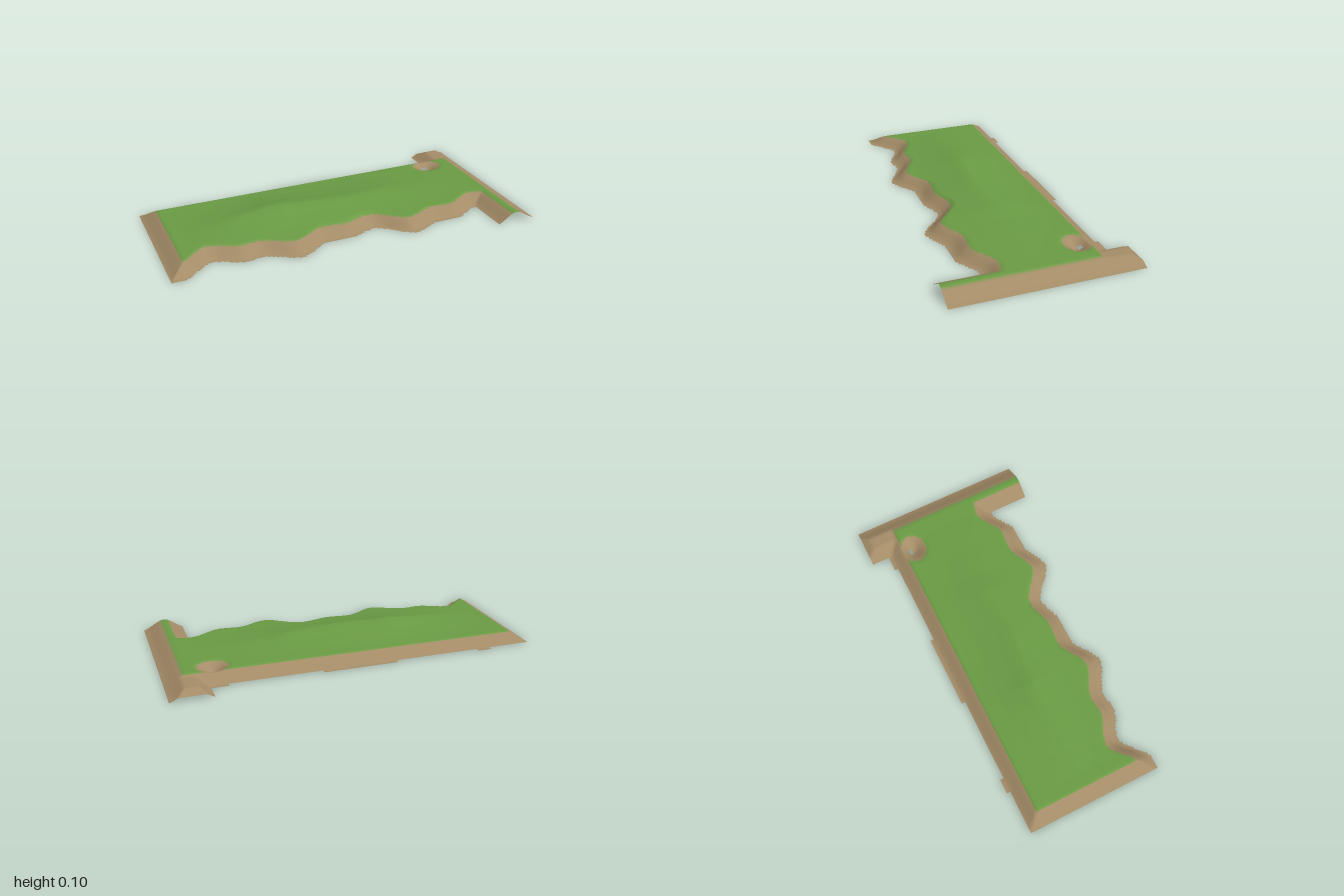
import * as THREE from 'three';

const PLATEAU = 0.054, CELL = 0.01;
const clamp = (t) => Math.min(1, Math.max(0, t));
const smooth = (t) => { t = clamp(t); return t * t * (3 - 2 * t); };
const slope = (d, w) => { const t = clamp(d / w); return PLATEAU * (0.6 * t + 0.4 * smooth(t)); };

// Interpolates a list of [x, value] points, rounded at each point or straight
function along(points, x, ease) {
  for (let i = 1; i < points.length; i++) {
    const [x0, v0] = points[i - 1], [x1, v1] = points[i];
    if (x <= x1) return v0 + (v1 - v0) * ease((x - x0) / (x1 - x0));
  }
  return points[points.length - 1][1];
}

// Wavy foot of the front bank
const frontFoot = [[-1, 0.38], [-0.94, 0.38], [-0.77, 0.27], [-0.6, 0.33], [-0.52, 0.32], [-0.33, 0.397],
  [-0.14, 0.305], [-0.03, 0.315], [0.13, 0.273], [0.33, 0.397], [0.5, 0.335], [0.6, 0.345], [0.78, 0.265], [1, 0.33]];
const frontEdge = (x) => along(frontFoot, x, smooth);

// Foot of the back bank, with three shallow tabs
const backEdge = (x) =>
  (x > -0.76 && x < -0.68) || (x > -0.21 && x < 0.2) || x > 0.69 ? -0.4 : -0.385;

// Crest height of the long hill, and its cross-section
const crest = [[-0.85, 0], [-0.7, 0.012], [-0.55, 0.028], [-0.4, 0.044], [-0.3, 0.051], [-0.2, 0.044], [0, 0.04],
  [0.1, 0.035], [0.3, 0.029], [0.42, 0.015], [0.6, 0.006], [0.8, 0]];
const section = [[0, 1], [0.04, 0.88], [0.1, 0.56], [0.2, 0.15], [0.28, 0]];
function hill(x, z) {
  const ridge = 0.015 * Math.sin(x * 8 + 1.2);
  return along(crest, x, clamp) * along(section, Math.abs(z - ridge), clamp);
}

// Round pit with a small drain hole
const pitRadius = (x, z) => Math.hypot((x - 0.745) / 0.105, (z + 0.25) / 0.088);
const inHole = (x, z) => Math.hypot(x - 0.745, z + 0.27) < 0.012;

function height(x, z) {
  const main = Math.min(
    slope(x + 1, 0.09),
    PLATEAU * smooth((frontEdge(x) - z) / 0.105),
    slope(z + 0.385, 0.085));
  // Cross ridge at the right-hand end, lower at the back
  let ridge = slope(x - 0.78, 0.09);
  if (z < -0.3) ridge = Math.min(ridge, 0.044);
  if (z < -0.45) ridge = Math.min(ridge, 0.02 + 0.024 * clamp((z + 0.5) / 0.045));
  let y = Math.min(slope(1 - x, 0.105), Math.max(main, ridge)) + hill(x, z);
  const r = pitRadius(x, z);
  if (r < 1) y = Math.min(y, 0.006 + (PLATEAU - 0.006) * smooth(0.12 + 0.88 * r));
  return y;
}

function isGround(x, z) {
  if (inHole(x, z)) return false;
  return x > 0.78 || (z < frontEdge(x) && z > backEdge(x));
}

export function createModel() {
  const group = new THREE.Group();
  group.name = 'terrainTile';

  const material = (name, color) => {
    const m = new THREE.MeshStandardMaterial({ color, side: THREE.DoubleSide });
    m.name = name;
    return m;
  };
  const parts = {
    grassTop: { material: material('grass green', 0x6a9b44), index: [] },
    grassFringe: { material: material('olive fringe', 0x869456), index: [] },
    earthBanks: { material: material('earth brown', 0xa48c67), index: [] },
  };

  // Height grid, shared by all three ground parts so the shading stays smooth
  const nx = 200, nz = 100, positions = [], all = [];
  for (let j = 0; j <= nz; j++) {
    for (let i = 0; i <= nx; i++) {
      const x = -1 + i * CELL, z = -0.5 + j * CELL;
      positions.push(x, height(x, z), z);
    }
  }
  for (let j = 0; j < nz; j++) {
    for (let i = 0; i < nx; i++) {
      const x = -1 + (i + 0.5) * CELL, z = -0.5 + (j + 0.5) * CELL;
      if (!isGround(x, z)) continue;
      const a = j * (nx + 1) + i, b = a + 1, c = a + nx + 1, d = c + 1;
      const quad = [a, c, b, b, c, d];
      const y = height(x, z);
      const part = y > 0.0515 ? 'grassTop' : y > 0.049 ? 'grassFringe' : 'earthBanks';
      parts[part].index.push(...quad);
      all.push(...quad);
    }
  }
  const ground = new THREE.BufferGeometry();
  ground.setAttribute('position', new THREE.Float32BufferAttribute(positions, 3));
  ground.setIndex(all);
  ground.computeVertexNormals();

  for (const [name, part] of Object.entries(parts)) {
    const geometry = new THREE.BufferGeometry();
    geometry.setAttribute('position', ground.getAttribute('position'));
    geometry.setAttribute('normal', ground.getAttribute('normal'));
    geometry.setIndex(part.index);
    const mesh = new THREE.Mesh(geometry, part.material);
    mesh.name = name;
    group.add(mesh);
  }
  return group;
}
